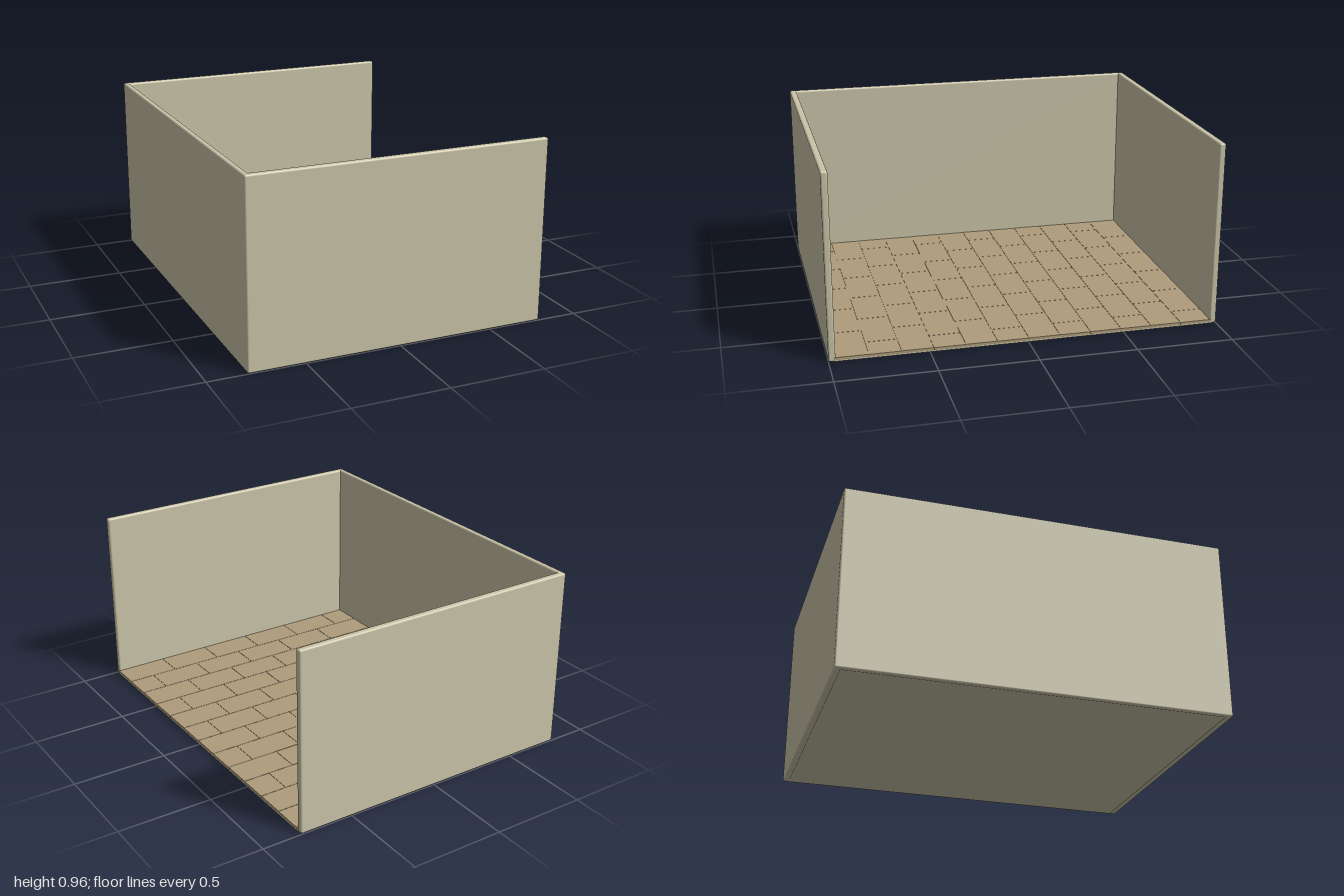
import * as THREE from 'three';
import { RoundedBoxGeometry } from 'three/addons/geometries/RoundedBoxGeometry.js';

const X0 = -0.795, X1 = 0.79, Z = 1, HEIGHT = 0.965;
const SIDE = 0.03, END = 0.035; // wall thicknesses
const FLOOR_X1 = 0.795, FLOOR_Y = 0.024;

const wallMat = new THREE.MeshStandardMaterial({ color: 0xcac4a8 });
const floorMat = new THREE.MeshStandardMaterial({ color: 0xae9c7b });

// Box from its extents, with rounded edges when a radius is given
function addBox(parent, name, material, [x0, x1], [y0, y1], [z0, z1], radius = 0) {
  const size = [x1 - x0, y1 - y0, z1 - z0];
  const geometry = radius
    ? new RoundedBoxGeometry(...size, 3, radius)
    : new THREE.BoxGeometry(...size);
  const mesh = new THREE.Mesh(geometry, material);
  mesh.position.set((x0 + x1) / 2, (y0 + y1) / 2, (z0 + z1) / 2);
  mesh.name = name;
  parent.add(mesh);
}

export function createModel() {
  const model = new THREE.Group();
  model.name = 'openRoom';
  const xi = X0 + SIDE, zi = Z - END;

  // Three walls with rounded edges, open towards +x
  const rise = [0, HEIGHT], round = 0.01;
  addBox(model, 'sideWall', wallMat, [X0, xi], rise, [-Z, Z], round);
  addBox(model, 'frontWall', wallMat, [X0, X1], rise, [zi, Z], round);
  addBox(model, 'backWall', wallMat, [X0, X1], rise, [-Z, -zi], round);

  // Base slab under the floor, and the bed showing in the joints
  const slabX = [xi - 0.01, FLOOR_X1 - 0.002], slabZ = [-zi - 0.01, zi + 0.01];
  addBox(model, 'baseSlab', wallMat, slabX, [0.003, 0.01], slabZ);
  addBox(model, 'jointBed', floorMat, slabX, [0.01, FLOOR_Y - 0.002], slabZ);

  // Floor tiles in running bond, rows along x
  const floor = new THREE.Group();
  floor.name = 'floorTiles';
  const rows = 12, gap = 0.002;
  const rowDepth = (2 * zi) / rows, tileLength = (FLOOR_X1 - xi) / 5.5;
  for (let r = 0; r < rows; r++) {
    const z0 = -zi + r * rowDepth;
    const start = xi - (r % 2 ? tileLength / 2 : 0);
    for (let x = start; x < FLOOR_X1 - 0.01; x += tileLength) {
      const a = Math.max(x + gap / 2, xi);
      const b = Math.min(x + tileLength - gap / 2, FLOOR_X1);
      addBox(floor, 'floorTile', floorMat, [a, b], [0.011, FLOOR_Y], [z0 + gap / 2, z0 + rowDepth - gap / 2]);
    }
  }
  model.add(floor);
  return model;
}
